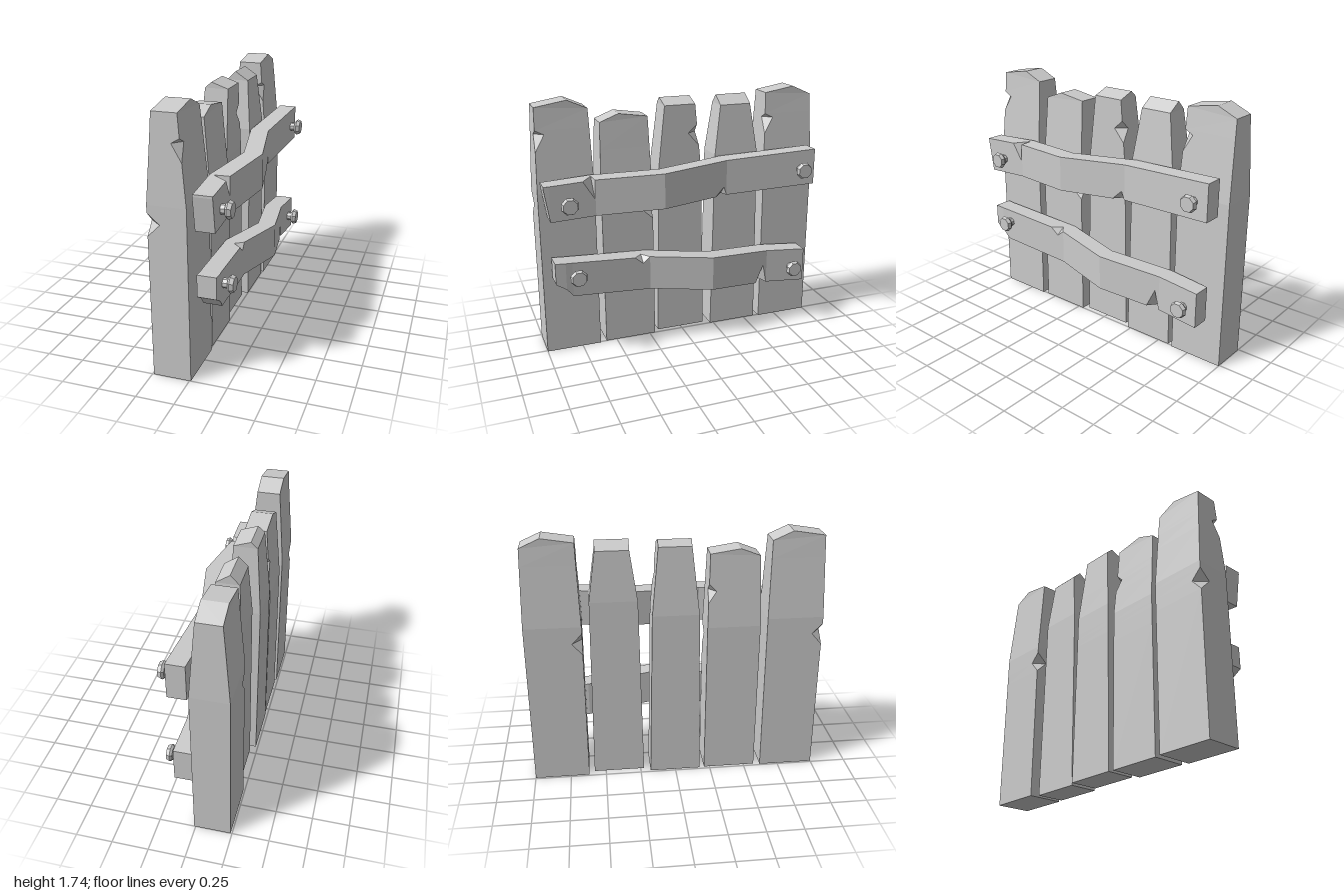
import * as THREE from 'three';

const material = new THREE.MeshStandardMaterial({ color: 0xcccccc, flatShading: true });
// corner signs in order: (+x,+z) (+x,-z) (-x,-z) (-x,+z)
const SIGNS = [[1, 1], [1, -1], [-1, -1], [-1, 1]];

// Section [t, x0, x1, z0, z1] interpolated between the stations
function sample(stations, t) {
  let i = 0;
  while (i < stations.length - 2 && t > stations[i + 1][0]) i++;
  const a = stations[i], b = stations[i + 1];
  const k = (t - a[0]) / (b[0] - a[0]);
  return a.map((v, j) => v + (b[j] - v) * k);
}

// Hewn timber along y: four-sided sections whose corners split where a notch bites in.
// notch: [corner, tLow, tTip, tHigh, biteX, biteZ]
// cap: { yFront, yBack, ridge: 'x' | 'z', at, top } gives a pitched end
function timber(stations, notches = [], cap = null) {
  const levels = [...new Set([
    ...stations.map((s) => s[0]),
    ...notches.flatMap((n) => n.slice(1, 4)),
  ])].sort((a, b) => a - b);

  const rings = levels.map((t) => {
    const [, x0, x1, z0, z1] = sample(stations, t);
    return SIGNS.flatMap(([sx, sz], c) => {
      const n = notches.find((m) => m[0] === c && m[2] === t);
      const bx = n ? n[4] : 0, bz = n ? n[5] : 0;
      const x = sx > 0 ? x1 : x0, z = sz > 0 ? z1 : z0;
      const onZFace = new THREE.Vector3(x - sx * bx, t, z);
      const onXFace = new THREE.Vector3(x, t, z - sz * bz);
      return sx === sz ? [onZFace, onXFace] : [onXFace, onZFace];
    });
  });

  const pos = [];
  const tri = (a, b, c) => {
    const area = b.clone().sub(a).cross(c.clone().sub(a)).length();
    if (area > 1e-7) pos.push(...a, ...b, ...c);
  };
  const quad = (a, b, c, d) => { tri(a, b, c); tri(a, c, d); };

  const last = rings[rings.length - 1];
  if (cap) last.forEach((p, i) => { p.y = SIGNS[i >> 1][1] > 0 ? cap.yFront : cap.yBack; });

  // sides
  for (let r = 0; r < rings.length - 1; r++) {
    const lo = rings[r], up = rings[r + 1];
    for (let k = 0; k < 8; k++) {
      const j = (k + 1) % 8;
      quad(lo[k], lo[j], up[j], up[k]);
    }
  }
  // ends
  const [e, f, g, h] = [0, 2, 4, 6].map((i) => rings[0][i]);
  quad(h, g, f, e);
  const [a, b, c, d] = [0, 2, 4, 6].map((i) => last[i]);
  if (!cap) quad(a, b, c, d);
  else if (cap.ridge === 'x') {
    const p = new THREE.Vector3(a.x, cap.top, cap.at), q = new THREE.Vector3(d.x, cap.top, cap.at);
    quad(a, p, q, d); quad(p, b, c, q); tri(a, b, p); tri(c, d, q);
  } else {
    const p = new THREE.Vector3(cap.at, cap.top, a.z), q = new THREE.Vector3(cap.at, cap.top, b.z);
    quad(a, b, q, p); quad(c, d, p, q); tri(d, a, p); tri(b, c, q);
  }

  const geo = new THREE.BufferGeometry();
  geo.setAttribute('position', new THREE.Float32BufferAttribute(pos, 3));
  geo.computeVertexNormals();
  return geo;
}

function addMesh(parent, name, geo) {
  const mesh = new THREE.Mesh(geo, material);
  mesh.name = name;
  parent.add(mesh);
  return mesh;
}

// Batten lying along z; stations are [z, xInner, xOuter, yBottom, yTop]
function batten(stations, notches) {
  const geo = timber(stations.map(([z, x0, x1, y0, y1]) => [z, x0, x1, -y1, -y0]), notches);
  return geo.rotateX(Math.PI / 2);
}

// Eight-sided bolt along +x
function bolt(y, z) {
  const profile = [[0, 0], [0.032, 0], [0.032, 0.195], [0.047, 0.195], [0.06, 0.21], [0.05, 0.235], [0, 0.235]]
    .map(([r, h]) => new THREE.Vector2(r, h));
  const geo = new THREE.LatheGeometry(profile, 8, Math.PI / 8);
  return geo.rotateZ(-Math.PI / 2).translate(0, y, z);
}

export function createModel() {
  const model = new THREE.Group();
  model.name = 'plankFence';

  // Tall outer planks, the same at both ends
  const outer = timber(
    [[0, -0.24, 0.01, 0.62, 1], [1.15, -0.24, 0.01, 0.62, 1], [1.69, -0.198, -0.038, 0.635, 0.982]],
    [[0, 1.42, 1.53, 1.56, 0.055, 0.06], [3, 0.95, 1.03, 1.1, 0.08, 0.07]],
    { yFront: 1.705, yBack: 1.68, ridge: 'x', at: 0.77, top: 1.74 });
  addMesh(model, 'frontOuterPlank', outer);
  addMesh(model, 'backOuterPlank', outer).position.z = -1.62;

  // Inner planks
  addMesh(model, 'frontInnerPlank', timber(
    [[0, -0.23, 0, 0.21, 0.575], [1.1, -0.23, 0, 0.215, 0.575], [1.58, -0.19, -0.04, 0.23, 0.56]],
    [[1, 0.89, 1.0, 1.04, 0.07, 0.12], [2, 1.27, 1.35, 1.4, 0.06, 0.05]],
    { yFront: 1.58, yBack: 1.6, ridge: 'x', at: 0.43, top: 1.63 }));
  addMesh(model, 'middlePlank', timber(
    [[0, -0.235, -0.035, -0.18, 0.175], [1.2, -0.235, -0.035, -0.155, 0.16], [1.66, -0.2, -0.04, -0.11, 0.11]],
    [[1, 1.37, 1.46, 1.52, 0.06, 0.07], [0, 0.98, 1.03, 1.07, 0.05, 0.09]],
    { yFront: 1.66, yBack: 1.66, ridge: 'z', at: -0.155, top: 1.7 }));
  addMesh(model, 'backInnerPlank', timber(
    [[0, -0.2, 0, -0.582, -0.225], [1.3, -0.2, 0, -0.565, -0.245], [1.64, -0.18, -0.03, -0.515, -0.293]],
    [],
    { yFront: 1.64, yBack: 1.64, ridge: 'z', at: -0.12, top: 1.7 }));

  // Bent cross battens
  addMesh(model, 'upperBatten', batten(
    [[-0.94, 0.04, 0.165, 1.07, 1.322], [-0.28, 0, 0.13, 1.045, 1.29], [0.2, 0.1, 0.228, 1.027, 1.268],
      [0.65, 0.025, 0.155, 1.01, 1.252], [0.95, 0.04, 0.165, 1.0, 1.24], [0.985, 0.04, 0.165, 1.225, 1.24]],
    [[1, 0.6, 0.655, 0.73, 0.1, 0.125], [0, -0.33, -0.26, -0.195, 0.06, 0.06]]));
  addMesh(model, 'lowerBatten', batten(
    [[-0.895, 0.04, 0.165, 0.325, 0.57], [-0.6, 0.025, 0.155, 0.347, 0.592], [-0.15, 0.1, 0.228, 0.385, 0.628],
      [0.28, 0, 0.13, 0.42, 0.66], [0.825, 0.035, 0.16, 0.465, 0.703], [0.87, 0.04, 0.165, 0.52, 0.707],
      [0.94, 0.04, 0.165, 0.565, 0.712]],
    [[1, 0.25, 0.33, 0.39, 0.06, 0.045], [0, -0.63, -0.57, -0.51, 0.08, 0.135]]));

  // Bolts through the batten ends
  [[1.11, 0.83], [1.185, -0.835], [0.61, 0.795], [0.445, -0.795]]
    .forEach(([y, z]) => addMesh(model, 'bolt', bolt(y, z)));

  return model;
}
